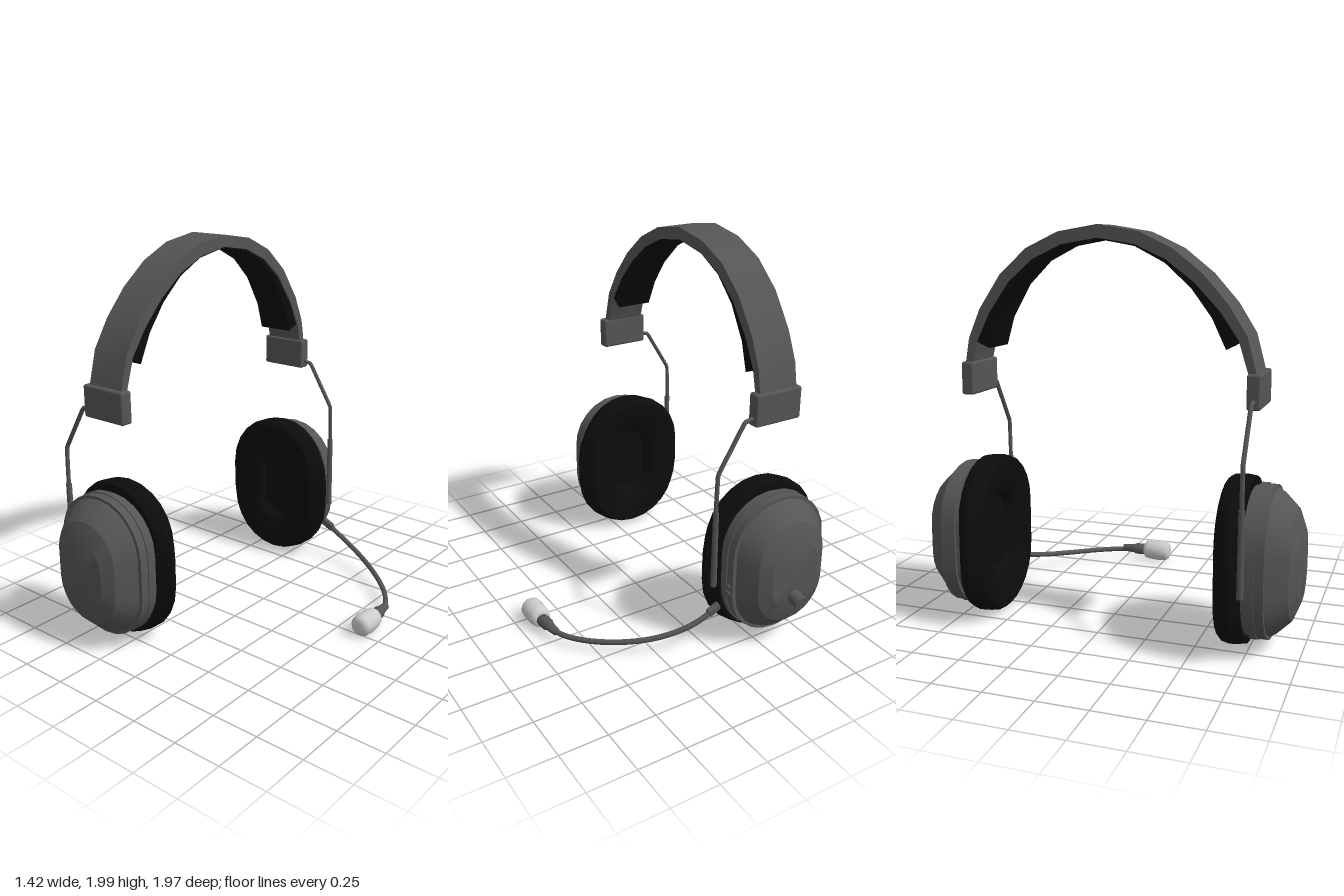
import * as THREE from 'three';
import { toCreasedNormals } from 'three/addons/utils/BufferGeometryUtils.js';
import { RoundedBoxGeometry } from 'three/addons/geometries/RoundedBoxGeometry.js';

const shell = new THREE.MeshStandardMaterial({ color: 0x555555 });
const padding = new THREE.MeshStandardMaterial({ color: 0x0c0c0c });
const foam = new THREE.MeshStandardMaterial({ color: 0xcccccc });

const CX = -0.365, CZ = 0.035, CUP_Y = 0.427; // axis between the cups, cup height

function add(parent, name, geometry, material, x = 0, y = 0, z = 0) {
  const mesh = new THREE.Mesh(geometry, material);
  mesh.name = name;
  mesh.position.set(x, y, z);
  parent.add(mesh);
  return mesh;
}

// Rounded-rectangle rings [z, half width, half height] joined along z
function loft(rings) {
  const seg = 6, n = 4 * (seg + 1), pos = [], index = [];
  for (const [z, rx, ry] of rings) {
    const r = 0.97 * Math.min(rx, ry);
    for (let q = 0; q < 4; q++) {
      const sx = q === 0 || q === 3 ? 1 : -1, sy = q < 2 ? 1 : -1;
      for (let k = 0; k <= seg; k++) {
        const a = (q + k / seg) * Math.PI / 2;
        pos.push(sx * (rx - r) + r * Math.cos(a), sy * (ry - r) + r * Math.sin(a), z);
      }
    }
  }
  for (let i = 0; i < rings.length - 1; i++) {
    for (let j = 0; j < n; j++) {
      const a = i * n + j, b = i * n + (j + 1) % n;
      index.push(a, b, a + n, b, b + n, a + n);
    }
  }
  const g = new THREE.BufferGeometry();
  g.setAttribute('position', new THREE.Float32BufferAttribute(pos, 3));
  g.setIndex(index);
  return toCreasedNormals(g, 0.4);
}

// Arch strip in the z-y plane between two depths below the outer line
function archStrip(line, outerDepth, innerDepth, width) {
  const offset = (depth) => line.map(([z, y], i) => {
    const p = line[Math.max(i - 1, 0)], q = line[Math.min(i + 1, line.length - 1)];
    const dz = q[0] - p[0], dy = q[1] - p[1], l = Math.hypot(dz, dy);
    const d = depth(Math.abs(2 * i / (line.length - 1) - 1));
    return new THREE.Vector2(z - dy / l * d, y + dz / l * d);
  });
  const shape = new THREE.Shape([...offset(outerDepth), ...offset(innerDepth).reverse()]);
  const g = new THREE.ExtrudeGeometry(shape, { depth: width, bevelEnabled: false });
  g.rotateY(-Math.PI / 2).translate(width / 2, 0, 0);
  return toCreasedNormals(g, 0.5);
}

// One ear side: cup, cushion, hanger wire and headband clamp
function earSide(name) {
  const side = new THREE.Group();
  side.name = name;
  add(side, 'earCup', loft([
    [0.69, 0, 0], [0.69, 0.275, 0.36], [0.735, 0.275, 0.36], [0.735, 0.288, 0.375],
    [0.77, 0.288, 0.375], [0.77, 0.282, 0.37], [0.815, 0.282, 0.37], [0.815, 0.262, 0.355],
    [0.845, 0.247, 0.338], [0.915, 0.2, 0.27], [0.95, 0.14, 0.18], [0.952, 0, 0],
  ]), shell, 0, CUP_Y);
  add(side, 'earCushion', loft([
    [0.655, 0, 0], [0.655, 0.1, 0.19], [0.61, 0.13, 0.225], [0.588, 0.18, 0.28],
    [0.583, 0.28, 0.388], [0.6, 0.3, 0.403], [0.64, 0.343, 0.407], [0.665, 0.343, 0.407],
    [0.71, 0.285, 0.403], [0.71, 0, 0],
  ]), padding, 0, CUP_Y);
  add(side, 'clamp', new RoundedBoxGeometry(0.27, 0.165, 0.066, 2, 0.012), shell, 0, 1.252, 0.72);
  const path = new THREE.CatmullRomCurve3([
    [-0.12, 1.212], [-0.175, 1.2], [-0.19, 1.18], [-0.318, 0.97], [-0.325, 0.94], [-0.33, 0.74],
  ].map(([x, y]) => new THREE.Vector3(x, y, 0.72)), false, 'catmullrom', 0.15);
  add(side, 'hangerWire', new THREE.TubeGeometry(path, 40, 0.011, 8), shell);
  add(side, 'hangerRod', new THREE.CylinderGeometry(0.015, 0.017, 0.41, 10), shell, -0.328, 0.555, 0.72);
  return side;
}

export function createModel() {
  const model = new THREE.Group();
  model.name = 'headset';

  // Two ear sides, the rear one turned half round
  const front = earSide('frontEarSide'), rear = earSide('rearEarSide');
  rear.rotation.y = Math.PI;
  for (const side of [front, rear]) {
    side.position.set(CX, 0, CZ);
    model.add(side);
  }

  // Headband and the padding under it
  const arch = [
    [0.772, 1.3], [0.718, 1.5], [0.63, 1.64], [0.51, 1.775], [0.365, 1.89], [0.2, 1.967], [0, 2],
    [-0.2, 1.967], [-0.365, 1.89], [-0.505, 1.765], [-0.62, 1.595], [-0.682, 1.45], [-0.708, 1.3],
  ];
  add(model, 'headband', archStrip(arch, () => 0, (t) => 0.062 - 0.026 * t * t, 0.22), shell, CX);
  add(model, 'headbandPad', archStrip(arch.slice(1, -1), () => 0.025,
    (t) => 0.068 + 0.05 * t * t, 0.2), padding, CX);

  // Volume knob and small buttons on the rear cup
  const knob = add(model, 'knob', new THREE.CylinderGeometry(0.037, 0.037, 0.11, 14), shell, CX, 0.305, -0.922);
  knob.rotation.x = -Math.PI / 2 - 0.2;
  for (const y of [0.327, 0.362]) {
    const button = add(model, 'button', new THREE.SphereGeometry(0.017, 10, 6), shell, -0.079, y, -0.752);
    button.scale.x = 0.5;
  }

  // Microphone boom
  add(model, 'boomMount', new RoundedBoxGeometry(0.075, 0.045, 0.03, 2, 0.01), shell, -0.04, 0.212, -0.688)
    .rotation.z = -0.45;
  const boom = new THREE.CatmullRomCurve3([
    [-0.05, 0.217, -0.69], [0, 0.19, -0.688], [0.1, 0.147, -0.672], [0.25, 0.104, -0.617],
    [0.4, 0.077, -0.525], [0.53, 0.063, -0.41], [0.61, 0.058, -0.3], [0.645, 0.06, -0.2],
  ].map((p) => new THREE.Vector3(...p)));
  add(model, 'boom', new THREE.TubeGeometry(boom, 40, 0.014, 8), shell);

  // Microphone neck and foam cover
  const lathe = (points, sides) => new THREE.LatheGeometry(
    points.map((p) => new THREE.Vector2(...p)), sides).rotateX(Math.PI / 2);
  const neck = add(model, 'microphoneNeck', lathe([
    [0, -0.16], [0.02, -0.16], [0.026, -0.09], [0.033, -0.08], [0.033, 0], [0, 0],
  ], 12), shell, 0.65, 0.064, -0.1);
  neck.rotation.y = 0.1;
  add(model, 'microphoneFoam', lathe([
    [0, -0.125], [0.035, -0.125], [0.05, -0.115], [0.056, -0.09], [0.06, -0.03],
    [0.056, 0.01], [0.045, 0.026], [0.025, 0.032], [0, 0.033],
  ], 20), foam, 0.648, 0.066, 0);
  return model;
}
